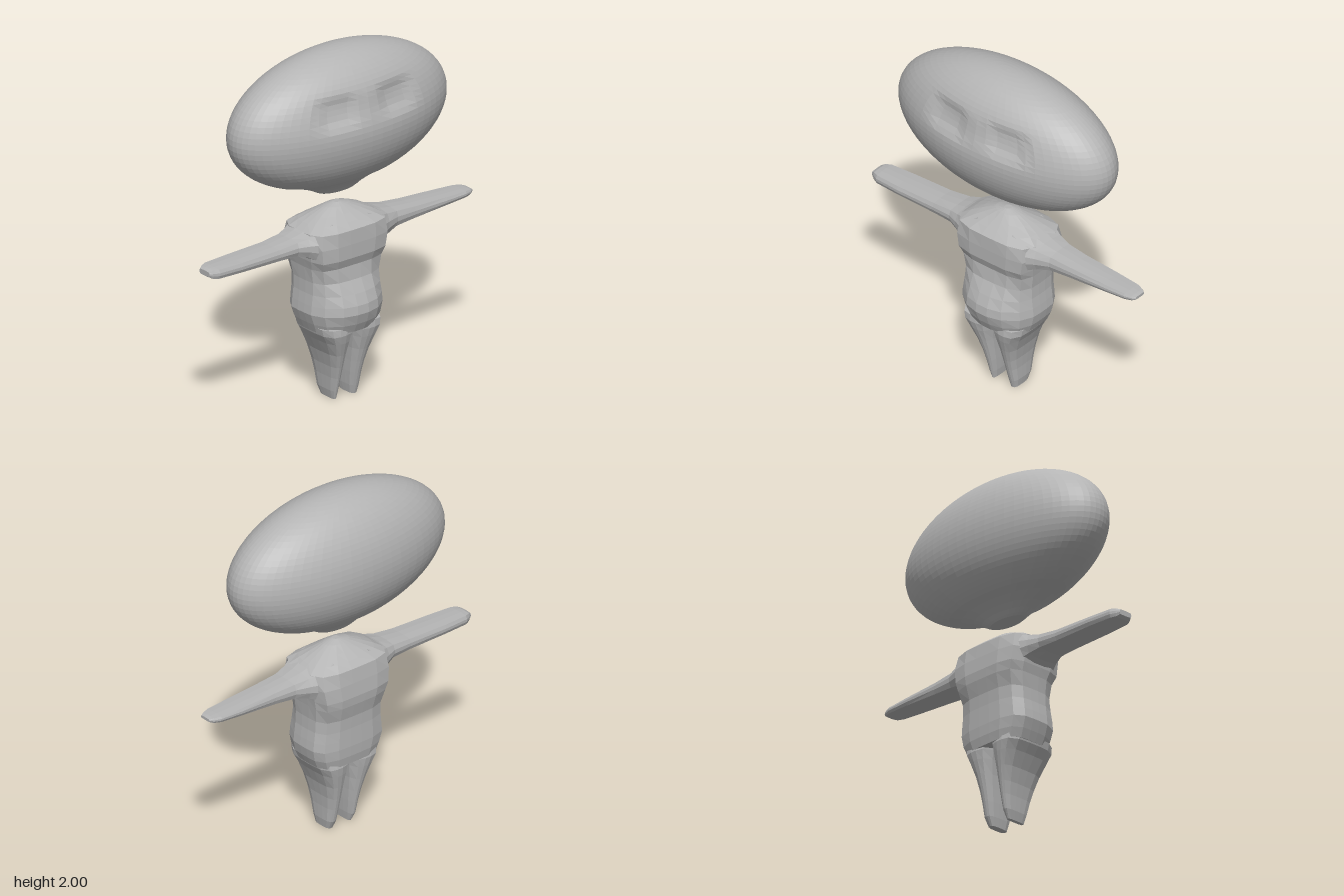
import * as THREE from 'three';

const gray = new THREE.MeshStandardMaterial({ color: 0xb4b4b4, flatShading: true });
gray.name = 'plain gray';

// Rounded-box ring: a and b ranges, squareness n, extra forward bulge on +a
function ring([pos, a0, a1, b0, b1, n = 4, bulge = 0], sides, place) {
  const pts = [];
  for (let i = 0; i < sides; i++) {
    const t = ((i + 0.5) / sides) * Math.PI * 2;
    const c = Math.cos(t), s = Math.sin(t);
    const k = Math.pow(Math.abs(c) ** n + Math.abs(s) ** n, -1 / n);
    let a = (a0 + a1) / 2 + ((a1 - a0) / 2) * c * k;
    if (c > 0) a += bulge * Math.max(0, 1 - (s * k) ** 2) * Math.min(1, c * k);
    pts.push(place(a, (b0 + b1) / 2 + ((b1 - b0) / 2) * s * k, pos));
  }
  return pts;
}

// Skin a list of rings, with capped ends and outward faces
function loft(name, rows, sides, place) {
  const rings = rows.map((r) => ring(r, sides, place));
  const tris = [];
  for (let r = 0; r < rings.length - 1; r++) {
    for (let i = 0; i < sides; i++) {
      const j = (i + 1) % sides;
      const [p, q, u, v] = [rings[r][i], rings[r][j], rings[r + 1][i], rings[r + 1][j]];
      tris.push([p, q, v], [p, v, u]);
    }
  }
  const last = rings[rings.length - 1];
  for (let i = 1; i < sides - 1; i++) {
    tris.push([rings[0][0], rings[0][i + 1], rings[0][i]], [last[0], last[i], last[i + 1]]);
  }
  let volume = 0;
  const cross = new THREE.Vector3();
  for (const [p, q, v] of tris) volume += p.dot(cross.crossVectors(q, v));
  const flat = [];
  for (const [p, q, v] of tris) {
    for (const w of volume > 0 ? [p, q, v] : [p, v, q]) flat.push(w.x, w.y, w.z);
  }
  const g = new THREE.BufferGeometry();
  g.setAttribute('position', new THREE.Float32BufferAttribute(flat, 3));
  g.computeVertexNormals();
  const mesh = new THREE.Mesh(g, gray);
  mesh.name = name;
  return mesh;
}

const upright = (a, b, pos) => new THREE.Vector3(a, pos, b);
const sideways = (a, b, pos) => new THREE.Vector3(a, b, pos);

// Wide floating egg with a small neck stub and two shallow eye sockets on +x
function makeHead() {
  const profile = [[0, 1.18], [0.17, 1.18], [0.2, 1.19], [0.25, 1.21], [0.33, 1.235], [0.45, 1.265]];
  const start = Math.asin((1.29 - 1.61) / 0.39);
  for (let i = 0; i <= 32; i++) {
    const t = start + (Math.PI / 2 - start) * (i / 32);
    profile.push([Math.max(0, Math.cos(t)), 1.61 + 0.39 * Math.sin(t)]);
  }
  const g = new THREE.LatheGeometry(profile.map(([r, y]) => new THREE.Vector2(r, y)), 64);
  g.scale(0.31, 1, 0.71);
  const p = g.attributes.position;
  for (let i = 0; i < p.count; i++) {
    const x = p.getX(i), y = p.getY(i), z = p.getZ(i);
    if (x <= 0.05) continue;
    const brow = 0.018 * Math.exp(-(((y - 1.73) / 0.09) ** 2) - (z / 0.35) ** 2);
    const socket = 0.025 * Math.exp(-(((y - 1.74) / 0.075) ** 4) - ((Math.abs(z) - 0.2) / 0.12) ** 4);
    p.setX(i, x - brow - socket);
  }
  g.computeVertexNormals();
  const head = new THREE.Mesh(g, gray);
  head.name = 'head';
  return head;
}

export function createModel() {
  const model = new THREE.Group();
  model.name = 'figure';
  model.add(makeHead());

  // Torso with a round belly and domed shoulders
  model.add(loft('torso', [
    [0.42, -0.158, 0.14, -0.2, 0.195, 4, 0.045],
    [0.47, -0.168, 0.15, -0.222, 0.215, 4, 0.06],
    [0.53, -0.172, 0.15, -0.235, 0.235, 4, 0.08],
    [0.58, -0.172, 0.15, -0.23, 0.23, 4, 0.075],
    [0.64, -0.172, 0.15, -0.222, 0.222, 4, 0.05],
    [0.71, -0.176, 0.15, -0.22, 0.22, 4, 0.015],
    [0.79, -0.195, 0.155, -0.228, 0.228, 5],
    [0.84, -0.2, 0.174, -0.235, 0.24, 6],
    [0.92, -0.193, 0.176, -0.25, 0.25, 6],
    [1.0, -0.182, 0.174, -0.255, 0.255, 4],
    [1.03, -0.145, 0.135, -0.21, 0.21, 3],
    [1.06, -0.1, 0.09, -0.15, 0.15, 2.5],
    [1.09, -0.055, 0.05, -0.08, 0.08, 2],
    [1.105, -0.02, 0.02, -0.02, 0.02, 2],
  ], 20, upright));

  // Legs, tapering to small flat feet; the right one stands a little wider
  const legX = [
    [0.008, -0.055, 0.06], [0.05, -0.08, 0.074], [0.13, -0.097, 0.095], [0.2, -0.112, 0.115],
    [0.28, -0.13, 0.14], [0.36, -0.148, 0.168], [0.41, -0.157, 0.182], [0.45, -0.15, 0.18],
  ];
  const inner = [0.045, 0.038, 0.033, 0.03, 0.025, 0.014, 0.004, -0.01];
  const outer = [0.068, 0.08, 0.088, 0.1, 0.123, 0.16, 0.19, 0.2];
  for (const side of [1, -1]) {
    const rows = legX.map(([y, x0, x1], i) => {
      const spread = side < 0 ? 0.03 * Math.max(0, 1 - y / 0.45) : 0;
      const z0 = side * (inner[i] + spread * 0.4), z1 = side * (outer[i] + spread);
      return [y === 0.008 ? 0 : y, x0, x1, Math.min(z0, z1), Math.max(z0, z1), 3.5];
    });
    model.add(loft(side > 0 ? 'leftLeg' : 'rightLeg', rows, 16, upright));
  }

  // Flat outstretched arms, flaring into the shoulders
  model.add(loft('leftArm', [
    [0.12, -0.15, 0.14, 0.82, 1.055, 4], [0.22, -0.145, 0.14, 0.84, 1.015, 4],
    [0.27, -0.12, 0.115, 0.87, 0.995, 4], [0.33, -0.095, 0.092, 0.893, 0.98, 5],
    [0.45, -0.083, 0.083, 0.897, 0.967, 6], [0.7, -0.08, 0.08, 0.9, 0.96, 6],
    [0.85, -0.07, 0.07, 0.9, 0.958, 6], [0.88, -0.055, 0.055, 0.903, 0.955, 6],
    [0.9, -0.042, 0.042, 0.915, 0.945, 6],
  ], 12, sideways));
  model.add(loft('rightArm', [
    [-0.12, -0.15, 0.14, 0.82, 1.055, 4], [-0.22, -0.145, 0.14, 0.84, 1.02, 4],
    [-0.27, -0.12, 0.115, 0.862, 1.0, 4], [-0.35, -0.092, 0.088, 0.885, 0.982, 5],
    [-0.48, -0.08, 0.08, 0.897, 0.97, 6], [-0.7, -0.074, 0.07, 0.908, 0.958, 6],
    [-0.84, -0.064, 0.06, 0.914, 0.952, 6], [-0.88, -0.05, 0.048, 0.918, 0.948, 6],
    [-0.9, -0.035, 0.035, 0.926, 0.942, 6],
  ], 12, sideways));
  return model;
}
